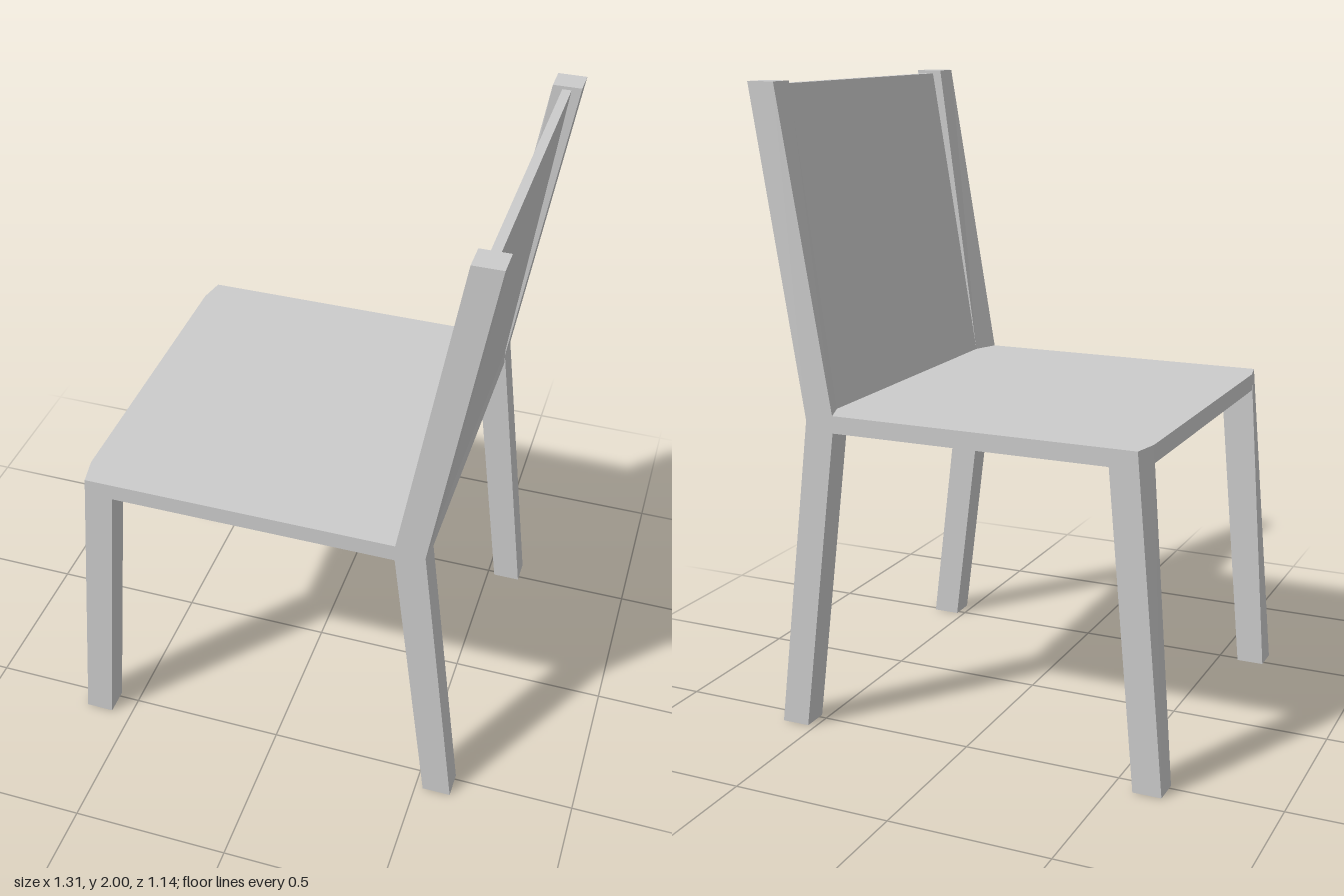
import * as THREE from 'three';

const INNER = 0.484, OUTER = 0.568;
const material = new THREE.MeshStandardMaterial({ color: 0xcccccc, flatShading: true });

// Extrude an xy profile from z0 to z1
function extrudeProfile(points, z0, z1) {
  const shape = new THREE.Shape(points.map(([x, y]) => new THREE.Vector2(x, y)));
  const geometry = new THREE.ExtrudeGeometry(shape, { depth: z1 - z0, bevelEnabled: false });
  return geometry.translate(0, 0, z0);
}

// Side frame outline: front leg, seat rail, back leg and back post in one piece
const frameProfile = [
  [-0.657, 0], [-0.568, 0], [-0.483, 0.969], [0.402, 0.969],
  [0.525, 0], [0.615, 0], [0.493, 1.0], [0.653, 2],
  [0.565, 2], [0.402, 1.023], [-0.568, 1.023],
];

function sideFrame(z0, z1) {
  const geometry = extrudeProfile(frameProfile, z0, z1);
  const p = geometry.attributes.position;
  // The inner seat corners are pulled in line with the seat and backrest
  for (let i = 0; i < p.count; i++) {
    if (Math.abs(p.getZ(i)) > 0.52 || Math.abs(p.getY(i) - 1.023) > 0.001) continue;
    p.setX(i, p.getX(i) < 0 ? -0.585 : 0.435);
  }
  geometry.computeVertexNormals();
  return geometry;
}

export function createModel() {
  const model = new THREE.Group();
  model.name = 'chair';
  const add = (name, geometry) => {
    const mesh = new THREE.Mesh(geometry, material);
    mesh.name = name;
    model.add(mesh);
  };

  add('leftFrame', sideFrame(-OUTER, -INNER));
  add('rightFrame', sideFrame(INNER, OUTER));

  // Seat slab between the frames
  add('seat', extrudeProfile(
    [[-0.587, 0.969], [0.493, 0.969], [0.493, 1.023], [-0.585, 1.023]], -INNER, INNER));

  // Thin backrest, tapering towards the top
  add('backrest', extrudeProfile(
    [[0.435, 1.023], [0.493, 1.023], [0.622, 1.99], [0.594, 1.99]], -INNER, INNER));

  return model;
}
